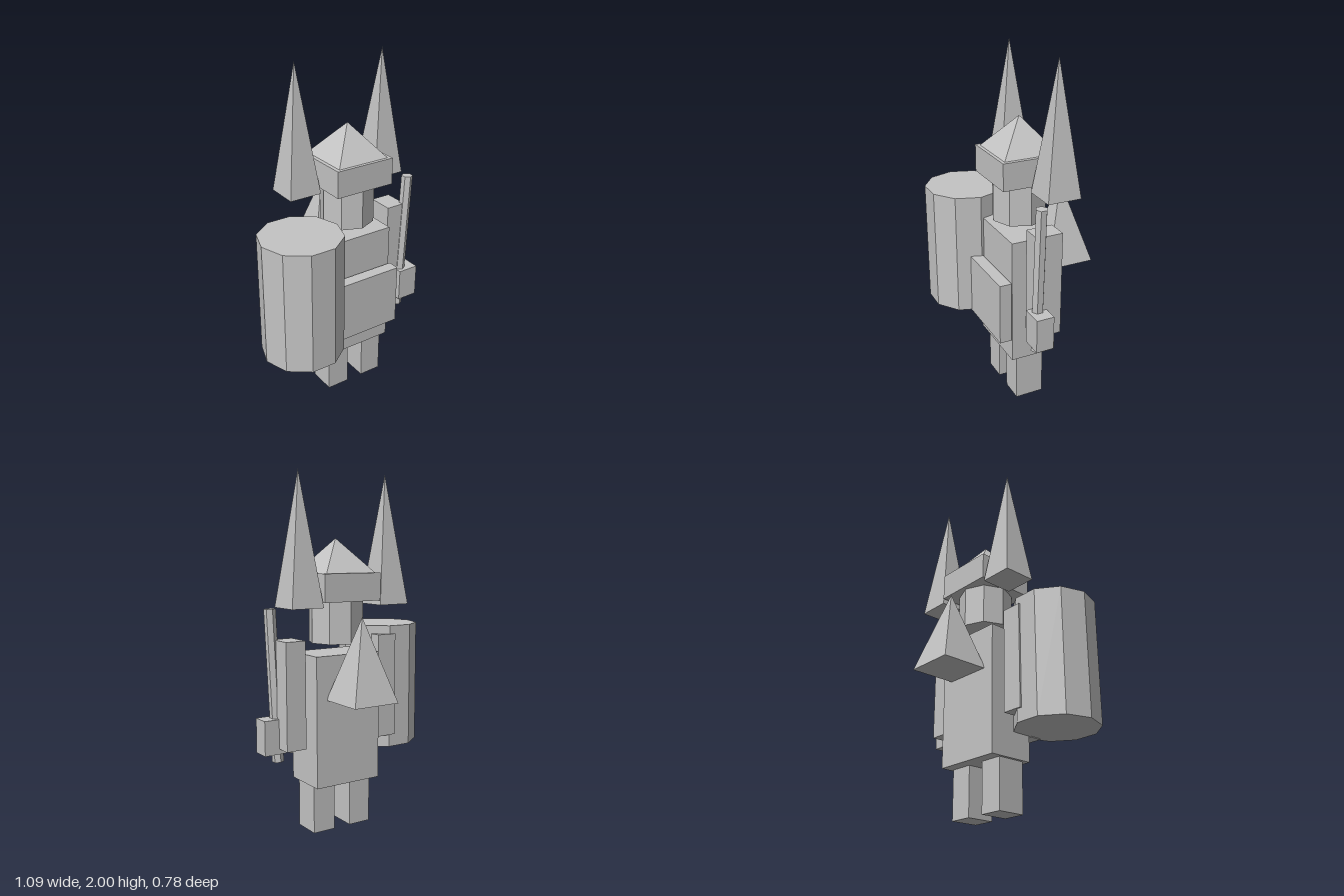
import * as THREE from 'three';

const stone = new THREE.MeshStandardMaterial({ color: 0xc4c4c4, flatShading: true });
stone.name = 'lightGrey';

const MID = 0.09; // the body's own centre line

export function createModel() {
  const model = new THREE.Group();
  model.name = 'hornedDrummer';

  const add = (name, geometry, x, y, z) => {
    const mesh = new THREE.Mesh(geometry, stone);
    mesh.name = name;
    mesh.position.set(x, y, z);
    model.add(mesh);
    return mesh;
  };

  // Box given by its extents on each axis
  const box = (name, [x0, x1], [y0, y1], [z0, z1]) =>
    add(name, new THREE.BoxGeometry(x1 - x0, y1 - y0, z1 - z0),
      (x0 + x1) / 2, (y0 + y1) / 2, (z0 + z1) / 2);

  // Square pyramid standing on y0
  const pyramid = (name, half, x, y0, y1, z) =>
    add(name, new THREE.ConeGeometry(half * Math.SQRT2, y1 - y0, 4).rotateY(Math.PI / 4),
      x, (y0 + y1) / 2, z);

  // Body and front plate
  box('torso', [-0.116, 0.296], [0.28, 1.015], [-0.122, 0.147]);
  box('apron', [-0.124, 0.304], [0.42, 0.78], [0.155, 0.225]);

  // Paired legs, arms and tall horns
  for (const [side, s] of [['left', 1], ['right', -1]]) {
    const span = (a, b) => [MID + s * a, MID + s * b].sort((p, q) => p - q);
    box(side + 'Leg', span(0.052, 0.188), [0, 0.28], [-0.055, 0.11]);
    box(side + 'Arm', span(0.243, 0.363), [0.5, 1.1], [-0.07, 0.082]);
    pyramid(side + 'Horn', 0.096, MID + s * 0.28, 1.28, 2, -0.069);
  }

  // Head and hat
  add('head', new THREE.CylinderGeometry(0.155, 0.155, 0.236, 8), MID, 1.19, 0.008);
  box('hatBrim', [-0.09, 0.27], [1.307, 1.46], [-0.169, 0.185]);
  pyramid('hatPeak', 0.158, MID, 1.46, 1.648, 0.008);

  // Pointed pack on the back
  pyramid('backPack', 0.14, MID, 0.77, 1.23, -0.253);

  // Ten-sided drum at the right, with corners on the x axis
  add('drum', new THREE.CylinderGeometry(0.235, 0.235, 0.722, 10).rotateY(Math.PI / 2),
    -0.313, 0.786, 0.163);

  // Slightly leaning staff and the hand around it
  const staff = add('staff', new THREE.CylinderGeometry(0.033, 0.033, 0.855, 6), 0.455, 0.843, 0.069);
  staff.rotation.z = -0.045;
  box('hand', [0.413, 0.541], [0.47, 0.666], [0.018, 0.121]);

  return model;
}
